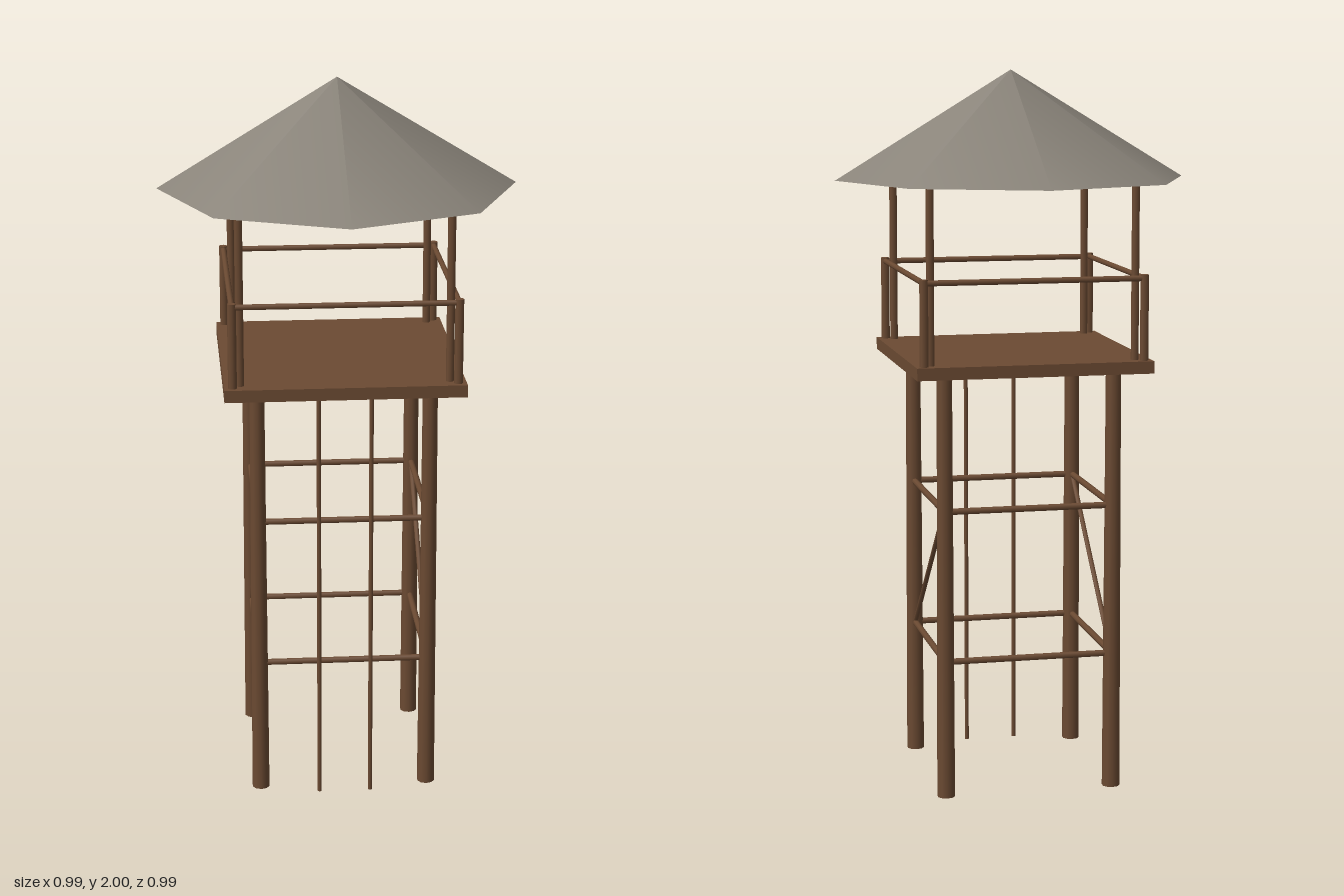
import * as THREE from 'three';

export function createModel() {
  const model = new THREE.Group();
  model.name = 'watchtower';

  const wood = new THREE.MeshStandardMaterial({ name: 'brown wood', color: 0x6b4a32 });
  const roofGrey = new THREE.MeshStandardMaterial({ name: 'grey roof', color: 0x8a847a });

  function add(name, geometry, material) {
    const mesh = new THREE.Mesh(geometry, material);
    mesh.name = name;
    model.add(mesh);
    return mesh;
  }

  // Round timber running from point a to point b
  function pole(name, a, b, r0, r1 = r0, sides = 8) {
    const from = new THREE.Vector3(...a), to = new THREE.Vector3(...b);
    const dir = to.clone().sub(from);
    const mesh = add(name, new THREE.CylinderGeometry(r1, r0, dir.length(), sides), wood);
    mesh.position.copy(from).add(to).multiplyScalar(0.5);
    mesh.quaternion.setFromUnitVectors(new THREE.Vector3(0, 1, 0), dir.normalize());
  }

  // Four poles making a square at height y
  function ring(name, half, y, r) {
    for (const s of [-1, 1]) {
      pole(name, [-half, y, s * half], [half, y, s * half], r);
      pole(name, [s * half, y, -half], [s * half, y, half], r);
    }
  }

  const LEG = 0.237, POST = 0.284, RAIL = 0.305;

  // Legs, roof posts and railing posts at each corner
  for (const x of [-1, 1]) {
    for (const z of [-1, 1]) {
      pole('leg', [x * LEG, 0, z * LEG], [x * LEG, 1.19, z * LEG], 0.025, 0.021, 10);
      pole('roofPost', [x * POST, 1.21, z * POST], [x * POST, 1.705, z * POST], 0.011);
      pole('railingPost', [x * RAIL, 1.21, z * RAIL], [x * RAIL, 1.455, z * RAIL], 0.012);
    }
  }

  // Horizontal braces and handrails
  ring('brace', LEG, 0.385, 0.009);
  ring('brace', LEG, 0.808, 0.009);
  ring('handrail', RAIL, 1.445, 0.008);

  // One diagonal on each side, sloping opposite ways
  for (const s of [-1, 1]) {
    pole('diagonalBrace', [s * LEG, 0.377, s * LEG], [s * LEG, 0.818, -s * LEG], 0.007);
  }

  // Ladder uprights at the front
  for (const s of [-1, 1]) {
    pole('ladderUpright', [s * 0.072, 0, 0.284], [s * 0.072, 1.19, 0.284], 0.006);
  }

  // Platform
  add('platform', new THREE.BoxGeometry(0.656, 0.034, 0.656), wood).position.y = 1.203;

  // Eight-sided roof
  add('roof', new THREE.ConeGeometry(0.495, 0.3, 8), roofGrey).position.y = 1.85;

  return model;
}
